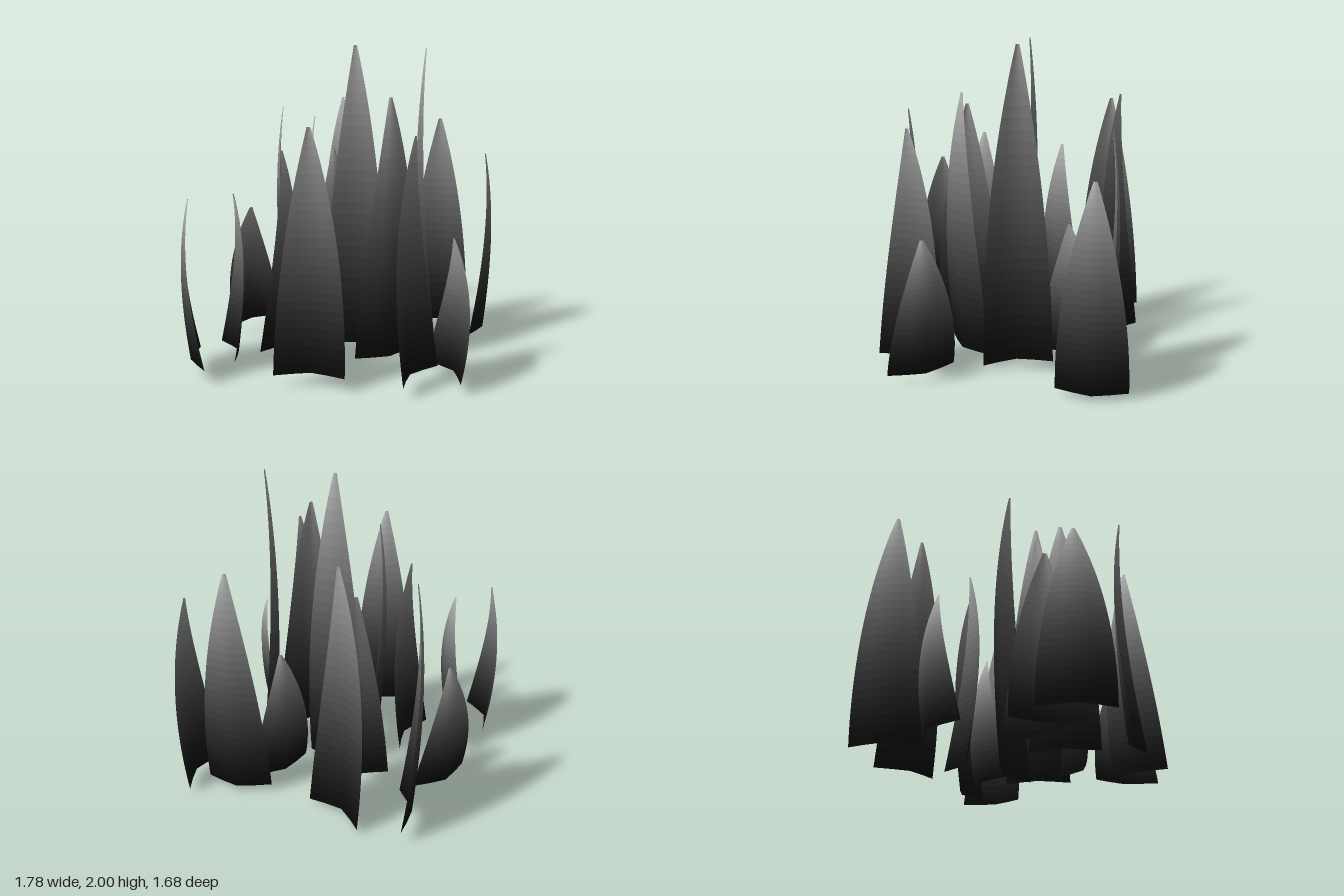
import * as THREE from 'three';

const HALF_WIDTH = 0.213; // at the foot of a blade
const FOLD = 0.072;       // how far the foot's side edges fold back
const ROWS = 27;
const ACROSS = [-1, -0.5, 0, 0.5, 1];

// One upright leaf: folded across, bowed outward (+z) along its height, tapering to the tip.
// Each row of faces is its own material group, so the shade can rise from foot to tip.
function bladeGeometry(height) {
  const pos = [], index = [], cols = ACROSS.length;
  const geo = new THREE.BufferGeometry();
  for (let r = 0; r <= ROWS; r++) {
    const t = r / ROWS;
    const width = HALF_WIDTH * (1 - 0.95 * t * t);
    const spine = FOLD + 0.075 * t * (1 - t) * (2 + t) - 0.01 * t;
    const fold = (FOLD - 0.006) * (1 - t) ** 1.2 + 0.006;
    for (const s of ACROSS) {
      pos.push(s * width, t * height, spine - fold * Math.abs(s) ** 1.2);
    }
  }
  for (let r = 0; r < ROWS; r++) {
    geo.addGroup(index.length, (cols - 1) * 6, r);
    for (let c = 0; c < cols - 1; c++) {
      const a = r * cols + c, b = a + cols;
      index.push(a, a + 1, b, a + 1, b + 1, b);
    }
  }
  geo.setAttribute('position', new THREE.Float32BufferAttribute(pos, 3));
  geo.setIndex(index);
  geo.computeVertexNormals();
  return geo;
}

// Shades from near black at the foot to light grey at the tip
function bladeMaterials() {
  return Array.from({ length: ROWS }, (_, r) => {
    const v = 0.03 + 0.69 * ((r + 0.5) / ROWS) ** 1.1;
    const color = new THREE.Color().setRGB(v, v, v, THREE.SRGBColorSpace);
    return new THREE.MeshStandardMaterial({ color, side: THREE.DoubleSide });
  });
}

// Each blade: x, z of the foot's chord, outward direction x, z, foot height, tip height
const BLADES = [
  [0.025, -0.07, 0, -1, 0, 2.0],
  [-0.59, -0.61, -0.94, 0.33, 0.08, 1.57],
  [-0.195, -0.73, -0.42, 0.91, 0.03, 1.64],
  [0.495, -0.63, -0.12, -0.99, 0.04, 1.5],
  [0.757, -0.622, 1, -0.02, 0.035, 1.27],
  [0.33, -0.39, -0.86, -0.52, 0.05, 0.89],
  [-0.7, -0.165, -0.85, -0.53, 0.085, 0.89],
  [-0.225, -0.35, 0.74, 0.67, 0.04, 1.31],
  [0.54, -0.155, -0.94, 0.33, 0.07, 1.98],
  [-0.657, 0.452, 0.82, -0.57, 0.075, 1.09],
  [-0.405, 0.24, 0.99, 0.14, 0.09, 1.35],
  [-0.053, 0.29, -0.95, 0.31, 0.075, 1.57],
  [0.303, 0.19, 0.72, 0.69, 0.07, 1.69],
  [0.72, 0.405, 0.78, -0.62, 0.065, 0.88],
  [0.61, 0.525, -0.95, -0.29, 0.07, 1.49],
  [-0.742, 0.642, -0.88, 0.48, 0.085, 1.09],
  [-0.015, 0.74, -0.14, -0.99, 0.08, 1.54],
];

export function createModel() {
  const model = new THREE.Group();
  model.name = 'grassTuft';
  const materials = bladeMaterials();
  BLADES.forEach(([x, z, nx, nz, foot, tip], i) => {
    const blade = new THREE.Mesh(bladeGeometry(tip - foot), materials);
    blade.name = `grassBlade${i + 1}`;
    blade.position.set(x, foot, z);
    blade.rotation.y = Math.atan2(nx, nz);
    model.add(blade);
  });
  return model;
}
